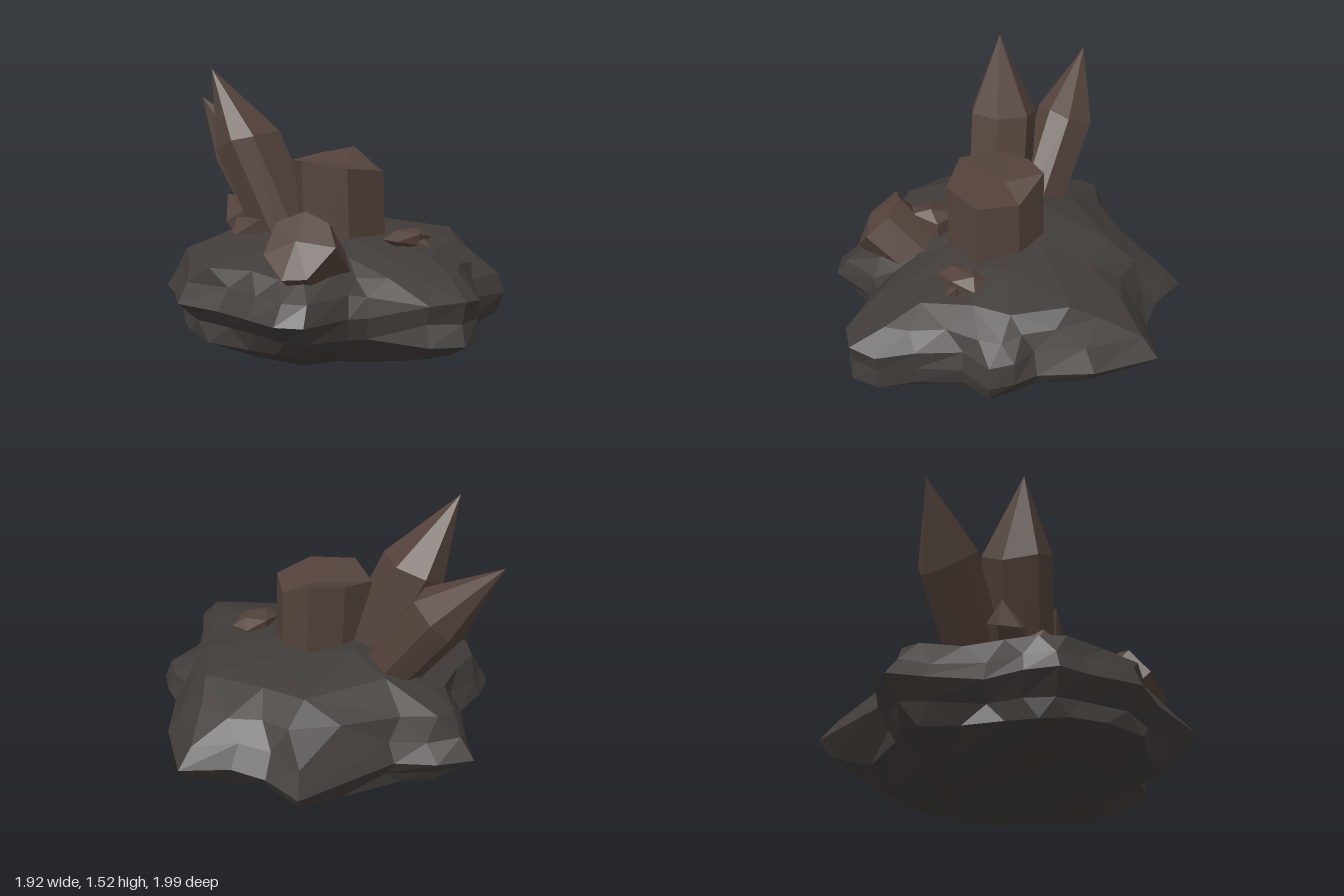
import * as THREE from 'three';

const V = (x, y, z) => new THREE.Vector3(x, y, z);
const noise = (i, k) => {
  const s = Math.sin(i * 127.1 + k * 311.7) * 43758.5453;
  return (s - Math.floor(s)) * 2 - 1;
};

// Joins rings of points (any count, listed from bottom to top) into a faceted skin
function loft(rings) {
  const pos = [];
  const tri = (...pts) => pts.forEach((p) => pos.push(p.x, p.y, p.z));
  for (let k = 0; k + 1 < rings.length; k++) {
    const { pts: a, phase: pa = 0 } = rings[k];
    const { pts: b, phase: pb = 0 } = rings[k + 1];
    const na = a.length > 1 ? a.length : 0;
    const nb = b.length > 1 ? b.length : 0;
    let i = 0, j = 0;
    while (i < na || j < nb) {
      const A = a[i % a.length], B = b[j % b.length];
      const stepA = j >= nb || (i < na && (i + 1 + pa) / na < (j + 1 + pb) / nb);
      if (stepA) tri(A, a[++i % a.length], B);
      else tri(A, b[++j % b.length], B);
    }
  }
  const geo = new THREE.BufferGeometry();
  geo.setAttribute('position', new THREE.Float32BufferAttribute(pos, 3));
  geo.computeVertexNormals();
  return geo;
}

// Outline of the boulder seen from above: x, z
const outline = [
  [0.96, -0.34], [0.87, 0], [0.72, 0.25], [0.71, 0.38], [0.67, 0.51], [0.48, 0.55], [0.34, 0.75],
  [0.25, 0.93], [0.12, 1], [-0.04, 0.94], [-0.24, 0.7], [-0.33, 0.67], [-0.59, 0.73], [-0.7, 0.64],
  [-0.76, 0.45], [-0.83, 0.24], [-0.96, 0], [-0.9, -0.27], [-0.89, -0.43], [-0.76, -0.53],
  [-0.57, -0.61], [-0.43, -0.85], [-0.36, -1], [-0.18, -0.94], [0, -0.82], [0.56, -0.84],
  [0.62, -0.62], [0.73, -0.46],
].reverse();

// Value at t (0..1) around a closed list
function around(list, t, mix) {
  const n = list.length, f = t * n, i = Math.floor(f);
  return mix(list[i % n], list[(i + 1) % n], f - i);
}
const lerp = THREE.MathUtils.lerp;
const lerp2 = (a, b, w) => [lerp(a[0], b[0], w), lerp(a[1], b[1], w)];

// Boulder layers: height, point count, stagger, slope,
// outline scale in eight directions from the front (+z) round by +x
const layers = [
  [0.015, 7, 0, 0, [0.32, 0.42, 0.35, 0.42, 0.45, 0.42, 0.42, 0.38]],
  [0.075, 14, 0, 0, [0.62, 0.68, 0.62, 0.66, 0.66, 0.68, 0.72, 0.62]],
  [0.16, 28, 0.5, 0, [0.83, 0.85, 0.75, 0.82, 0.85, 0.87, 0.95, 0.8]],
  [0.25, 28, 0, 0, [1, 0.95, 0.9, 0.92, 0.92, 0.92, 0.9, 0.9]],
  [0.35, 28, 0, 0, [0.96, 1, 1, 1, 1, 1, 1, 1]],
  [0.45, 28, 0, 0, [1, 0.96, 0.91, 0.9, 0.93, 0.94, 0.96, 0.9]],
  [0.545, 28, 0.5, -0.03, [0.82, 0.88, 0.82, 0.76, 0.86, 0.88, 0.94, 0.76]],
  [0.63, 14, 0, -0.07, [0.6, 0.72, 0.74, 0.58, 0.58, 0.62, 0.7, 0.58]],
  [0.685, 7, 0, -0.12, [0.3, 0.34, 0.34, 0.3, 0.34, 0.32, 0.32, 0.3]],
];

function boulder() {
  const rings = layers.map(([y, n, phase, slope, scales], k) => {
    const jag = k === 4 ? 0 : 1;
    const pts = Array.from({ length: n }, (_, i) => {
      const [x, z] = around(outline, (i + phase) / n, lerp2);
      const turn = (Math.atan2(x, z) / (Math.PI * 2) + 1) % 1;
      const f = around(scales, turn, lerp) + 0.02 * jag * noise(i, k) * (z > 0.85 ? 0 : 1);
      return V(x * f, y + slope * z * f + 0.013 * jag * noise(i + 50, k), z * f);
    });
    return { pts, phase };
  });
  return loft([{ pts: [V(0, 0, 0)] }, ...rings, { pts: [V(0, 0.71, -0.1)] }]);
}

// Faceted crystal: shaft from base to shoulder, closed by a tip point
function crystal({ base, shoulder, tip, r, r0 = r * 0.9, sides = 6, turn = 0, rough = 0.07, seed = 1 }) {
  const b = V(...base), s = V(...shoulder);
  const axis = s.clone().sub(b).normalize();
  const u = V(0, 0, 1).addScaledVector(axis, -axis.z).normalize();
  const v = axis.clone().cross(u);
  const ring = (c, rad, jag) => ({
    pts: Array.from({ length: sides }, (_, i) => {
      const a = ((i + 0.2 * noise(i, seed)) / sides) * Math.PI * 2 + turn;
      const q = rad * (1 + rough * noise(i, seed + 9));
      return c.clone().addScaledVector(u, Math.cos(a) * q).addScaledVector(v, Math.sin(a) * q)
        .addScaledVector(axis, jag * noise(i, seed + 17));
    }),
  });
  return loft([{ pts: [b] }, ring(b, r0, 0), ring(s, r, r * 0.15), { pts: [V(...tip)] }]);
}

// Broken upright column: x, z and height of each rim corner
const rim = [
  [-0.13, 0.25, 1.02], [0.1, 0.21, 0.995], [0.18, 0, 0.985], [0.13, -0.19, 1.09],
  [-0.06, -0.23, 1.06], [-0.25, -0.19, 1.03], [-0.3, 0.06, 1.05],
];
function column() {
  return loft([
    { pts: [V(-0.05, 0.5, 0)] },
    { pts: rim.map(([x, z]) => V(x + 0.015, 0.5, z)) },
    { pts: rim.map(([x, z, y]) => V(x, y, z)) },
    { pts: [V(0, 1.02, -0.03)] },
  ]);
}

const crystals = {
  tallCrystal: { base: [-0.235, 0.5, -0.125], shoulder: [-0.45, 1.14, -0.31], tip: [-0.62, 1.52, -0.41], r: 0.185, r0: 0.18, sides: 7, seed: 2 },
  leaningCrystal: { base: [-0.2, 0.5, -0.33], shoulder: [-0.35, 1.04, -0.67], tip: [-0.51, 1.35, -0.92], r: 0.16, sides: 7, turn: 0.3, seed: 3 },
  smallBackCrystal: { base: [-0.36, 0.5, -0.3], shoulder: [-0.47, 0.73, -0.41], tip: [-0.52, 0.83, -0.47], r: 0.105, sides: 5, seed: 4 },
  sideStub: { base: [-0.42, 0.5, -0.17], shoulder: [-0.51, 0.68, -0.22], tip: [-0.55, 0.73, -0.24], r: 0.13, sides: 6, seed: 5 },
  frontStub: { base: [-0.32, 0.5, 0.34], shoulder: [-0.5, 0.69, 0.48], tip: [-0.53, 0.72, 0.51], r: 0.185, r0: 0.17, sides: 7, turn: 0.4, seed: 6 },
  frontSmallStub: { base: [-0.31, 0.5, 0.22], shoulder: [-0.34, 0.73, 0.21], tip: [-0.29, 0.79, 0.26], r: 0.13, sides: 6, seed: 7 },
};

export function createModel() {
  const model = new THREE.Group();
  model.name = 'crystalRock';
  const stone = new THREE.MeshStandardMaterial({ color: 0x413c39, flatShading: true });
  const mineral = new THREE.MeshStandardMaterial({ color: 0x53423b, flatShading: true });
  const add = (name, geo, mat) => {
    const mesh = new THREE.Mesh(geo, mat);
    mesh.name = name;
    model.add(mesh);
    return mesh;
  };

  add('boulder', boulder(), stone);
  add('brokenColumn', column(), mineral);
  for (const [name, spec] of Object.entries(crystals)) add(name, crystal(spec), mineral);

  // Loose chip with a little spur on the front slope
  const chip = add('chip', new THREE.IcosahedronGeometry(1, 0), mineral);
  chip.scale.set(0.15, 0.055, 0.1);
  chip.rotation.y = 0.3;
  chip.position.set(0.17, 0.655, 0.345);
  add('chipSpur', crystal({ base: [0.2, 0.64, 0.36], shoulder: [0.21, 0.63, 0.43], tip: [0.22, 0.62, 0.48], r: 0.03, sides: 4 }), mineral);
  return model;
}
